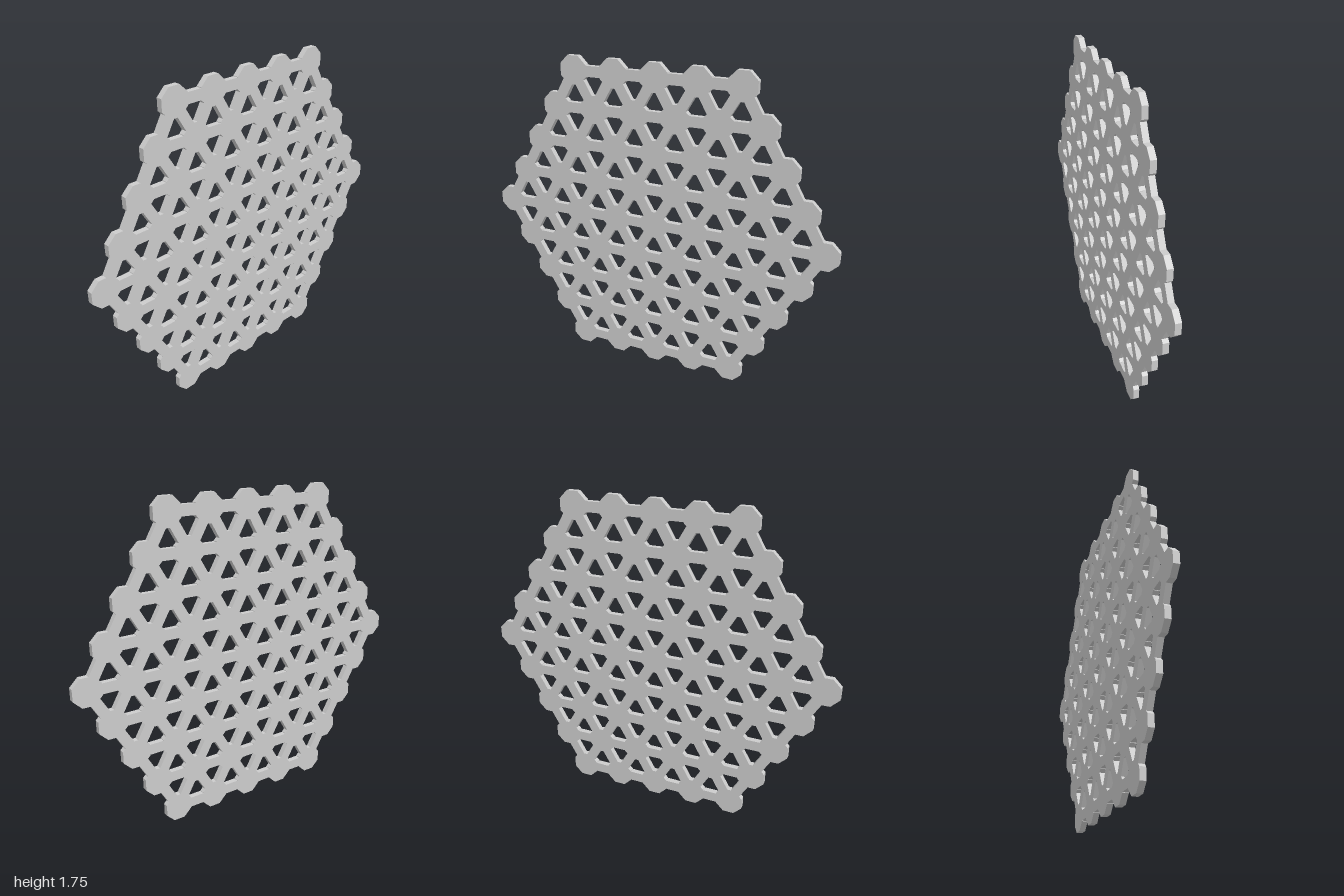
import * as THREE from 'three';

const RINGS = 4;          // nodes from centre to corner
const PITCH = 0.2311;     // distance between nodes
const APOTHEM = 0.0756;   // octagonal node, centre to flat
const HALF_BAR = 0.0285;  // half the width of a connecting bar
const DEPTH = 0.032;
const DEG = Math.PI / 180;

const polar = (deg, r = 1) => new THREE.Vector2(Math.cos(deg * DEG) * r, Math.sin(deg * DEG) * r);

// Point where one edge of a bar (side +1 = left, -1 = right) leaves its octagonal node
function barExit(deg, side) {
  const dir = polar(deg), offset = polar(deg + 90 * side, HALF_BAR);
  let t = Infinity;
  for (let k = 0; k < 8; k++) {
    const normal = polar(45 * k), slope = dir.dot(normal);
    if (slope > 1e-6) t = Math.min(t, (APOTHEM - offset.dot(normal)) / slope);
  }
  return { point: offset.addScaledVector(dir, t), deg: deg + side * Math.atan2(HALF_BAR, t) / DEG };
}

// Node outline, counter-clockwise, between the bars at two angles
function nodeArc(centre, from, to) {
  const start = barExit(from, 1), end = barExit(to, -1);
  const points = [start.point];
  for (let k = Math.ceil((start.deg - 22.5) / 45); 22.5 + 45 * k < end.deg; k++) {
    const deg = 22.5 + 45 * k;
    if (deg > start.deg + 0.2 && deg < end.deg - 0.2) {
      points.push(polar(deg, APOTHEM / Math.cos(22.5 * DEG)));
    }
  }
  points.push(end.point);
  return points.map((p) => p.add(centre));
}

// Scalloped hexagonal rim: walk the border nodes counter-clockwise
function rimPoints() {
  const points = [];
  for (let side = 0; side < 6; side++) {
    const a = side * 60;
    for (let i = 0; i < RINGS; i++) {
      const node = polar(a, RINGS * PITCH).addScaledVector(polar(a + 120), i * PITCH);
      points.push(...nodeArc(node, i === 0 ? a - 120 : a - 60, a + 120));
    }
  }
  return points;
}

// Window between three neighbouring nodes; first is the node whose bars run at deg and deg + 60
function windowPath(first, deg) {
  const points = [];
  const node = first.clone();
  for (let k = 0; k < 3; k++) {
    const a = deg + 120 * k;
    points.push(...nodeArc(node, a, a + 60).reverse());
    node.addScaledVector(polar(a), PITCH);
  }
  return new THREE.Path(points.reverse());
}

export function createModel() {
  const shape = new THREE.Shape(rimPoints());

  // An upward window (0) and a downward window (-60) to the right of each node
  const inside = (q, r) => Math.max(Math.abs(q), Math.abs(r), Math.abs(q + r)) <= RINGS;
  for (let q = -RINGS; q <= RINGS; q++) {
    for (let r = -RINGS; r <= RINGS; r++) {
      if (!inside(q, r) || !inside(q + 1, r)) continue;
      const node = new THREE.Vector2((q + r / 2) * PITCH, r * PITCH * Math.sqrt(3) / 2);
      if (inside(q, r + 1)) shape.holes.push(windowPath(node, 0));
      if (inside(q + 1, r - 1)) shape.holes.push(windowPath(node, -60));
    }
  }

  const geometry = new THREE.ExtrudeGeometry(shape, { depth: DEPTH, bevelEnabled: false });
  const height = RINGS * PITCH * Math.sqrt(3) / 2 + APOTHEM;
  geometry.translate(0, height, -DEPTH / 2);

  const lattice = new THREE.Mesh(
    geometry,
    new THREE.MeshStandardMaterial({ color: 0xcccccc, flatShading: true })
  );
  lattice.name = 'hexagonalLatticePlate';

  const model = new THREE.Group();
  model.name = 'latticePanel';
  model.add(lattice);
  return model;
}
